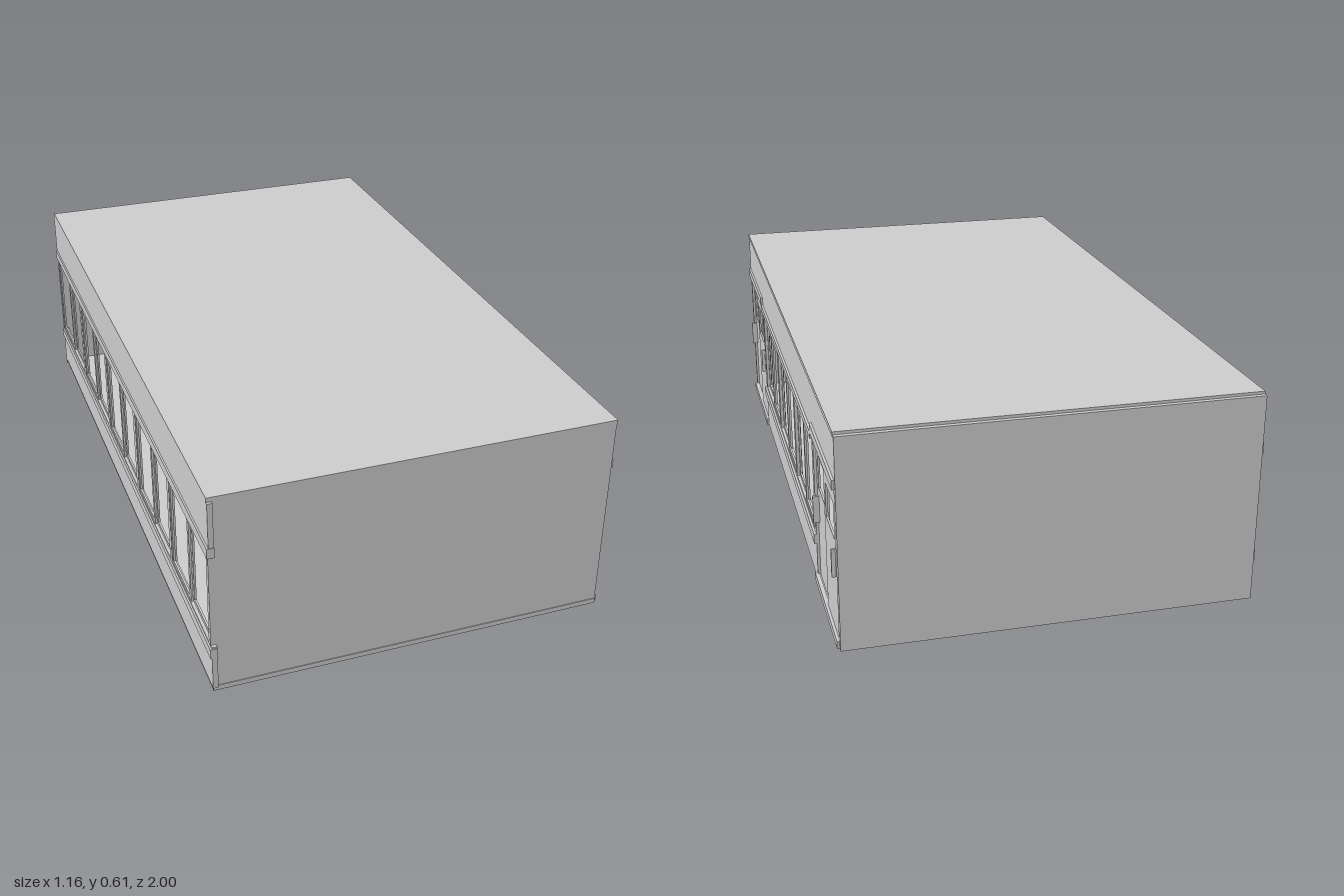
import * as THREE from 'three';

const mat = new THREE.MeshStandardMaterial({ color: 0xcccccc, flatShading: true });

export function createModel() {
  const room = new THREE.Group();
  room.name = 'classroom';

  const add = (geo, name) => {
    const mesh = new THREE.Mesh(geo, mat);
    mesh.name = name;
    room.add(mesh);
    return mesh;
  };

  // Box given by its limits on each axis
  const box = (name, x0, x1, y0, y1, z0, z1) => {
    const geo = new THREE.BoxGeometry(x1 - x0, y1 - y0, z1 - z0);
    geo.translate((x0 + x1) / 2, (y0 + y1) / 2, (z0 + z1) / 2);
    return add(geo, name);
  };

  // Upright slab in the zy plane with rectangular holes [z0, z1, y0, y1]
  const trace = (path, [z0, z1, y0, y1]) => {
    path.moveTo(-z1, y0);
    path.lineTo(-z0, y0);
    path.lineTo(-z0, y1);
    path.lineTo(-z1, y1);
    path.closePath();
    return path;
  };
  const slab = (name, x0, x1, outline, holes) => {
    const shape = trace(new THREE.Shape(), outline);
    holes.forEach((h) => shape.holes.push(trace(new THREE.Path(), h)));
    const geo = new THREE.ExtrudeGeometry(shape, { depth: x1 - x0, bevelEnabled: false });
    geo.rotateY(Math.PI / 2);
    geo.translate(x0, 0, 0);
    return add(geo, name);
  };

  // Floor, roof and plain end walls
  box('floor', -0.575, 0.57, 0, 0.015, -0.995, 0.99);
  box('roof', -0.578, 0.571, 0.597, 0.61, -0.987, 0.99);
  box('frontWall', -0.565, 0.565, 0.015, 0.597, 0.975, 0.988);
  box('backWall', -0.578, 0.57, 0, 0.602, -1, -0.985);

  // Teaching platform at the back end
  box('platform', -0.3, 0.3, 0.015, 0.05, -0.985, -0.72);

  const windowCentres = [0.395, -0.002, -0.397];
  const doorCentres = [0.788, -0.793];
  const allCentres = [0.788, ...windowCentres, -0.793];
  const windowHole = (c) => [c - 0.187, c + 0.183, 0.152, 0.437];
  const doorHole = (c) => [c - 0.183, c + 0.183, 0.02, 0.455];

  // Pair of sliding sashes, one set slightly behind the other
  const sashes = (c, xOuter, xInner) => {
    slab('windowSash', Math.min(xInner, xInner + 0.006), xInner + 0.006,
      [c + 0.002, c + 0.183, 0.152, 0.437], [[c + 0.015, c + 0.174, 0.163, 0.428]]);
    slab('windowSash', xOuter, xOuter + 0.006,
      [c - 0.187, c + 0.005, 0.152, 0.437], [[c - 0.178, c - 0.01, 0.163, 0.428]]);
  };

  // Corridor wall with two door openings and three window openings
  slab('leftWall', 0.553, 0.57, [-0.985, 0.988, 0.015, 0.597],
    [...windowCentres.map(windowHole), ...doorCentres.map(doorHole)]);
  windowCentres.forEach((c) => sashes(c, 0.562, 0.555));
  box('windowHeadTrim', 0.57, 0.577, 0.435, 0.455, -0.605, 0.6);
  box('windowSillTrim', 0.57, 0.577, 0.117, 0.146, -0.61, 0.6);

  // Sliding double doors with small panes, handles, header and threshold
  doorCentres.forEach((c) => {
    [1, -1].forEach((s) => {
      const span = (a, b) => [Math.min(c + s * a, c + s * b), Math.max(c + s * a, c + s * b)];
      const x = s > 0 ? 0.556 : 0.563;
      slab('doorLeaf', x, x + 0.006, [...span(-0.004, 0.183), 0.02, 0.455],
        [[...span(0.022, 0.158), 0.3, 0.4]]);
      const zh = c + s * 0.161;
      box('doorHandle', x + 0.006, 0.58, 0.195, 0.275, zh - 0.004, zh + 0.004);
    });
    const z0 = Math.max(c - 0.195, -0.985);
    const z1 = Math.min(c + 0.195, 0.985);
    box('doorHeader', 0.57, 0.577, 0.453, 0.48, z0, z1);
    box('doorThreshold', 0.565, 0.577, 0, 0.022, z0, z1);
  });

  // Outer wall with five window pairs along its whole length
  slab('rightWall', -0.578, -0.563, [-0.99, 0.988, 0.015, 0.597], allCentres.map(windowHole));
  allCentres.forEach((c) => sashes(c, -0.576, -0.569));
  box('rightWallUpperEnd', -0.578, -0.563, 0.437, 0.597, 0.988, 0.998);
  box('rightWallLowerEnd', -0.578, -0.563, 0.015, 0.152, 0.988, 0.998);
  box('outerHeadTrim', -0.583, -0.562, 0.435, 0.465, -0.995, 1);
  box('outerSillTrim', -0.583, -0.562, 0.117, 0.147, -0.995, 1);

  return room;
}
